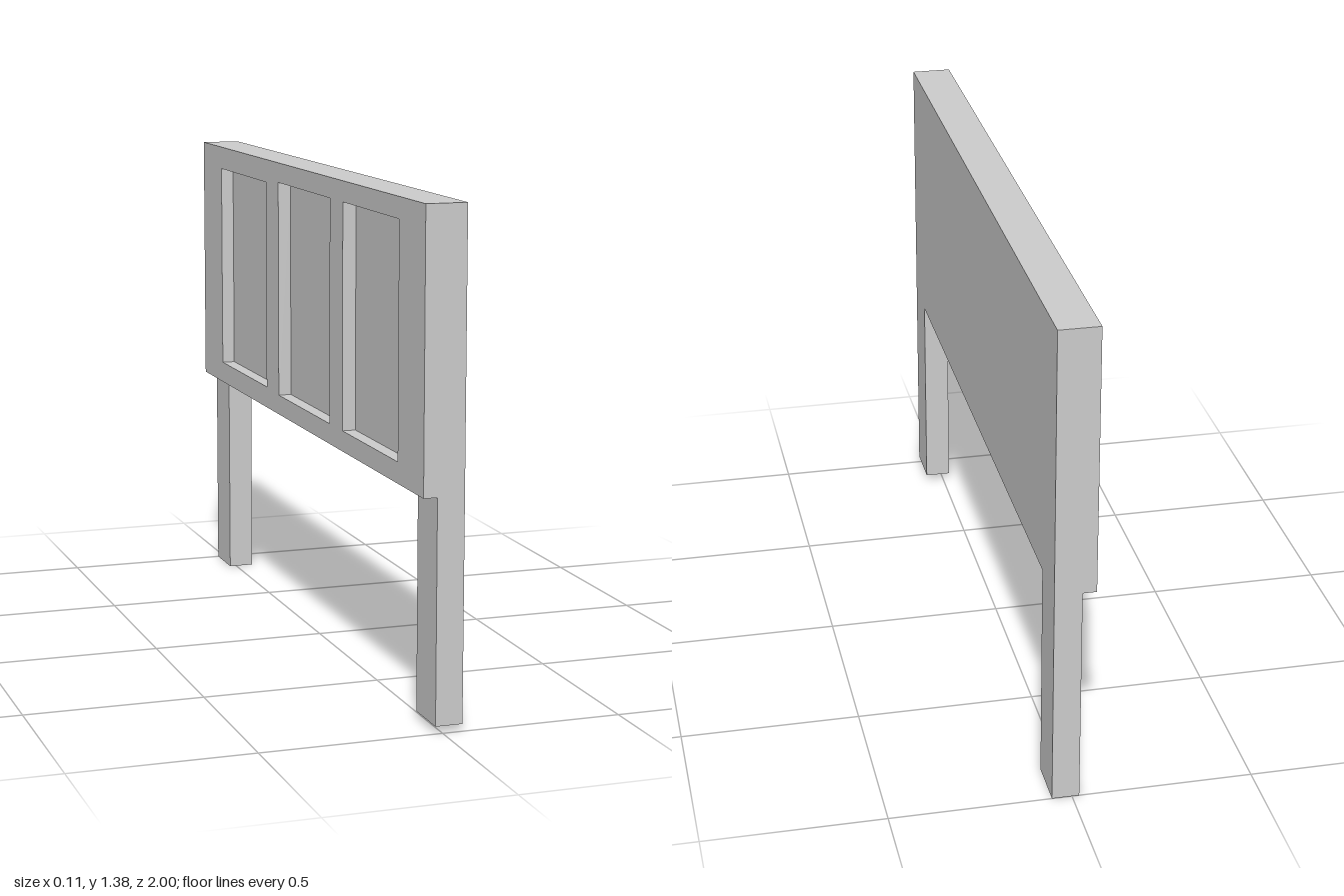
import * as THREE from 'three';

const material = new THREE.MeshStandardMaterial({ color: 0xcccccc });

// Outline points are [z, y]
const outline = (Type, pts) => new Type(pts.map(([z, y]) => new THREE.Vector2(z, y)));
const rect = (z0, z1, y0, y1) => [[z0, y0], [z1, y0], [z1, y1], [z0, y1]];

// Extrude a z-y outline from xStart towards -x
function slab(name, shape, xStart, thickness) {
  const geo = new THREE.ExtrudeGeometry(shape, { depth: thickness, bevelEnabled: false });
  geo.rotateY(-Math.PI / 2);
  geo.translate(xStart, 0, 0);
  const mesh = new THREE.Mesh(geo, material);
  mesh.name = name;
  return mesh;
}

export function createModel() {
  const group = new THREE.Group();
  group.name = 'headboard';
  const top = 1.378, base = 0.627, legZ = 0.86;
  const xPlain = 0.055, xMid = -0.02, xFace = -0.058;

  // Backing board with two legs, one slightly shorter
  const board = outline(THREE.Shape, [
    [-1, 0], [-legZ, 0], [-legZ, base], [legZ, base],
    [legZ, 0.02], [1, 0.02], [1, top], [-1, top],
  ]);
  group.add(slab('backingBoardWithLegs', board, xPlain, xPlain - xMid));

  // Face frame with three recessed panel openings
  const frame = outline(THREE.Shape, rect(-1, 1, base, top));
  const openings = [
    [-0.8, -0.33, 0.69, 1.31],
    [-0.21, 0.26, 0.685, 1.32],
    [0.37, 0.81, 0.685, 1.32],
  ];
  for (const o of openings) frame.holes.push(outline(THREE.Path, rect(...o)));
  group.add(slab('panelFrame', frame, xMid, xMid - xFace));

  return group;
}
